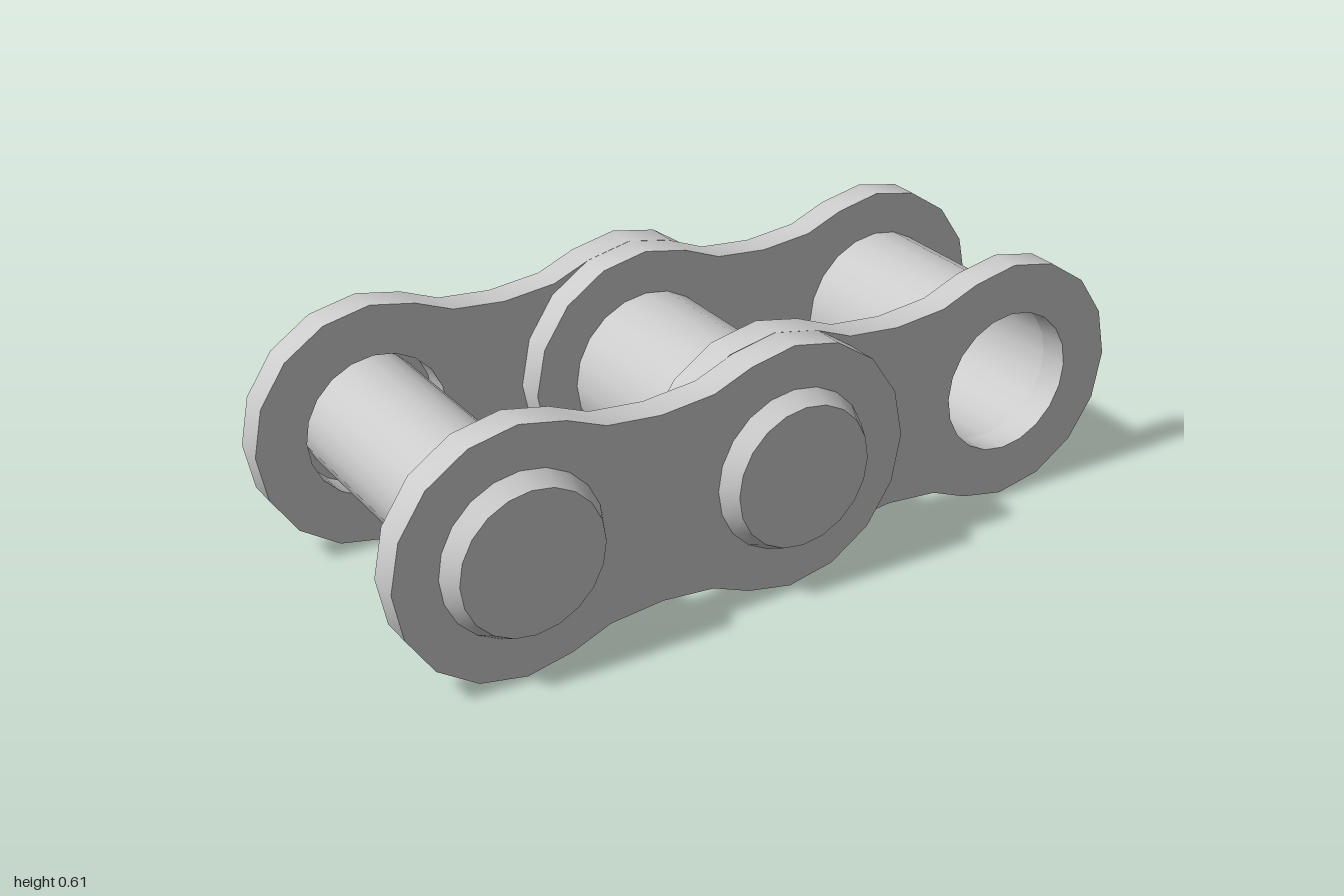
import * as THREE from 'three';
import { toCreasedNormals } from 'three/addons/utils/BufferGeometryUtils.js';

const PITCH = 0.69;   // distance between pin centres
const LOBE = 0.307;   // radius of the plate ends
const HOLE = 0.18;    // bore of plates and rollers
const SIDES = 20;

const material = new THREE.MeshStandardMaterial({ color: 0xcccccc });

// Waisted figure-eight plate centred on its own middle, extruded along z
function plateGeometry(depth) {
  const half = PITCH / 2;
  const quarter = [];
  for (let i = 0; i <= 5; i++) {
    const a = (i * Math.PI) / 8;
    quarter.push([half + LOBE * Math.cos(a), LOBE * Math.sin(a)]);
  }
  quarter.push([0.135, 0.245], [0, 0.232]);
  // the fifth lobe step is already the start of the neck
  quarter.splice(5, 1, [half - 0.114, 0.284]);

  const top = [...quarter, ...quarter.slice(0, -1).reverse().map(([x, y]) => [-x, y])];
  const bottom = top.slice(1, -1).reverse().map(([x, y]) => [x, -y]);
  const shape = new THREE.Shape([...top, ...bottom].map(([x, y]) => new THREE.Vector2(x, y)));
  for (const x of [-half, half]) {
    shape.holes.push(new THREE.Path().absarc(x, 0, HOLE, 0, Math.PI * 2, true));
  }
  const geo = new THREE.ExtrudeGeometry(shape, { depth, bevelEnabled: false, curveSegments: SIDES / 2 });
  return toCreasedNormals(geo, 0.6);
}

// Turned part with its axis along z
function turned(profile) {
  const geo = new THREE.LatheGeometry(profile.map(([r, h]) => new THREE.Vector2(r, h)), SIDES);
  geo.rotateX(Math.PI / 2);
  return toCreasedNormals(geo, 0.45);
}

export function createModel() {
  const model = new THREE.Group();
  model.name = 'chainLinks';

  const add = (name, geometry, x, z = 0) => {
    const mesh = new THREE.Mesh(geometry, material);
    mesh.name = name;
    mesh.position.set(x, LOBE, z);
    model.add(mesh);
  };

  // Side plates: outer pair on the right link, inner pair on the left link
  const outer = plateGeometry(0.078);
  const inner = plateGeometry(0.075);
  add('outerPlateFront', outer, -PITCH / 2, 0.311);
  add('outerPlateBack', outer, -PITCH / 2, -0.389);
  add('innerPlateFront', inner, PITCH / 2, 0.235);
  add('innerPlateBack', inner, PITCH / 2, -0.31);

  // Pins with chamfered heads that cover the outer plate holes
  const pin = turned([
    [0, -0.437], [0.175, -0.437], [0.199, -0.389], [0.157, -0.389],
    [0.157, 0.389], [0.199, 0.389], [0.175, 0.437], [0, 0.437],
  ]);
  add('endPin', pin, -PITCH);
  add('middlePin', pin, 0);

  // Hollow rollers between the inner plates
  const roller = turned([
    [0.198, -0.236], [0.198, 0.236], [HOLE, 0.236], [HOLE, -0.236], [0.198, -0.236],
  ]);
  add('middleRoller', roller, 0);
  add('endRoller', roller, PITCH);

  return model;
}
